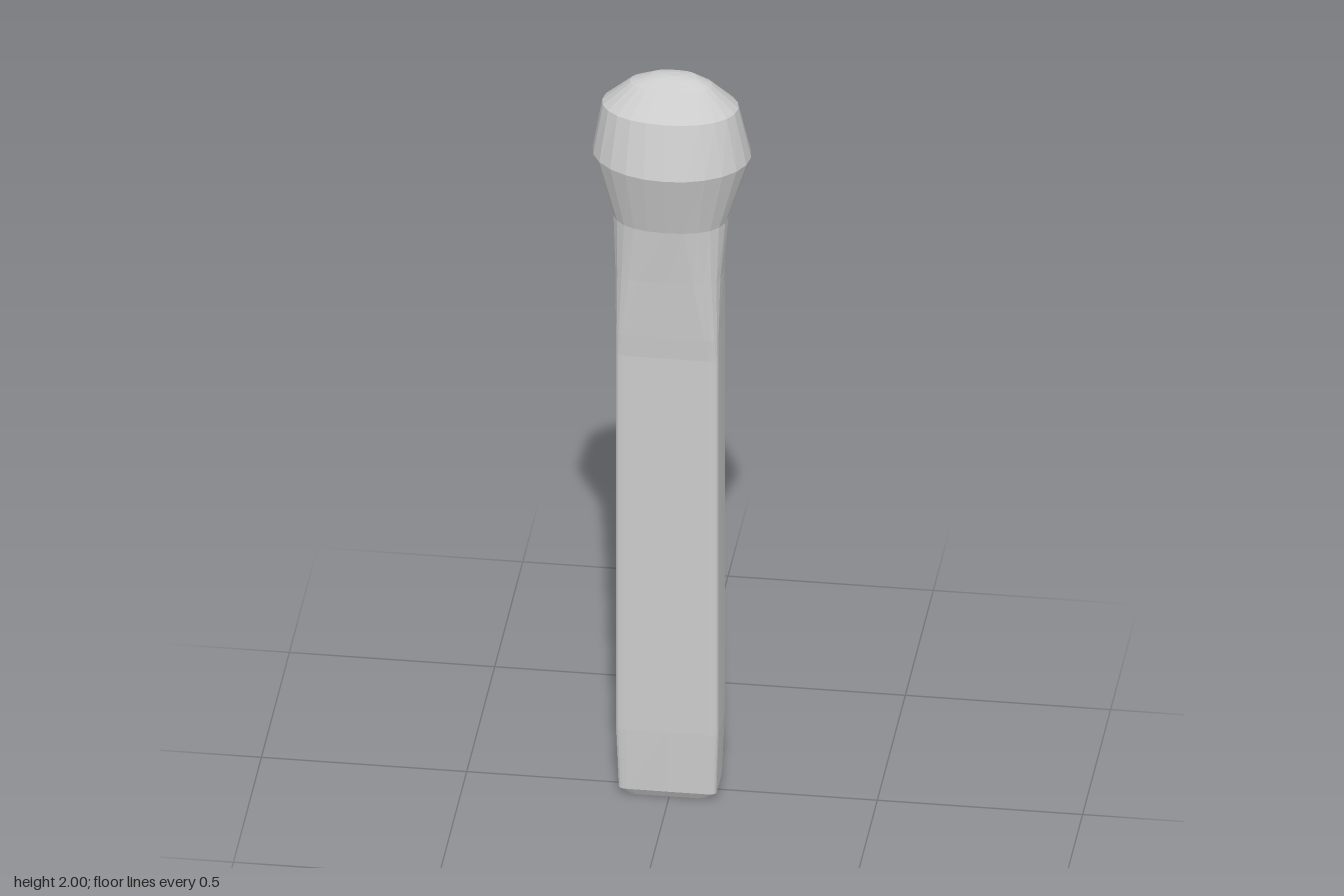
import * as THREE from 'three';

const SIDES = 24;

// Loft through rings of [y, half width, half depth, squareness, centre x]; squareness 2 is an ellipse.
function loft(rings, capBottom, capTop) {
  const pos = [], idx = [];
  for (const [y, rx, rz, n, cx] of rings) {
    for (let j = 0; j < SIDES; j++) {
      const a = (j / SIDES) * Math.PI * 2;
      const bend = (v) => Math.abs(v) < 1e-6 ? 0 : Math.sign(v) * Math.abs(v) ** (2 / n);
      pos.push(cx + rx * bend(Math.cos(a)), y, rz * bend(Math.sin(a)));
    }
  }
  const last = rings.length - 1;
  for (let i = 0; i < last; i++) {
    for (let j = 0; j < SIDES; j++) {
      const k = (j + 1) % SIDES;
      const a = i * SIDES + j, b = i * SIDES + k;
      idx.push(a, a + SIDES, b, b, a + SIDES, b + SIDES);
    }
  }
  const cap = (ring, up) => {
    const centre = pos.length / 3;
    pos.push(rings[ring][4], rings[ring][0], 0);
    for (let j = 0; j < SIDES; j++) {
      const a = ring * SIDES + j, b = ring * SIDES + (j + 1) % SIDES;
      idx.push(centre, up ? b : a, up ? a : b);
    }
  };
  if (capBottom) cap(0, false);
  if (capTop) cap(last, true);
  const g = new THREE.BufferGeometry();
  g.setAttribute('position', new THREE.Float32BufferAttribute(pos, 3));
  g.setIndex(idx);
  const flat = g.toNonIndexed();
  flat.computeVertexNormals();
  return flat;
}

export function createModel() {
  const group = new THREE.Group();
  group.name = 'matchstick';
  const material = new THREE.MeshStandardMaterial({ color: 0xcccccc, flatShading: true });
  const add = (name, geometry) => {
    const mesh = new THREE.Mesh(geometry, material);
    mesh.name = name;
    group.add(mesh);
  };

  // Square-sided stick with a bevelled foot, rounding off towards the head
  add('stick', loft([
    [0, 0.103, 0.05, 10, -0.004],
    [0.02, 0.12, 0.062, 12, -0.004],
    [0.19, 0.126, 0.069, 12, -0.004],
    [1.24, 0.126, 0.07, 12, -0.004],
    [1.30, 0.126, 0.075, 9, -0.004],
    [1.46, 0.13, 0.086, 4, -0.004],
    [1.61, 0.14, 0.1, 2.4, -0.002],
  ], true, false));

  // Bulbous oval head
  add('head', loft([
    [1.61, 0.14, 0.1, 2.4, -0.002],
    [1.78, 0.193, 0.144, 2, 0],
    [1.915, 0.166, 0.104, 2.1, -0.004],
    [1.975, 0.1, 0.046, 2.4, -0.002],
    [1.996, 0.055, 0.025, 2.4, 0.005],
    [2, 0.02, 0.01, 2.4, 0.005],
  ], false, true));

  return group;
}
